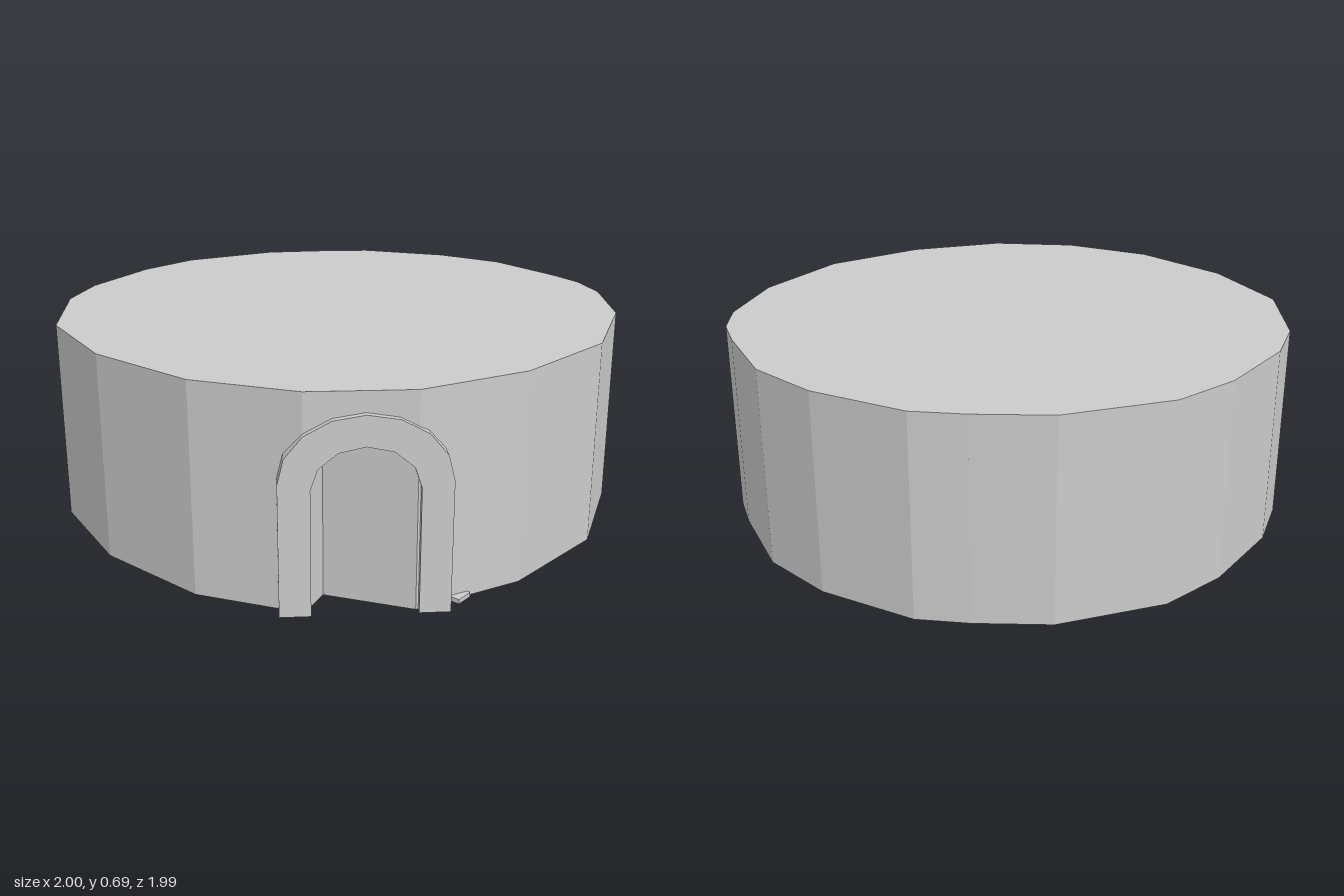
import * as THREE from 'three';

const material = new THREE.MeshStandardMaterial({ color: 0xcccccc, flatShading: true });

// Irregular plan of the drum as [x, z]; the doorway lies between DOOR and DOOR + 1
const PLAN = [
  [-0.07, -1], [0.18, -1], [0.53, -0.86], [0.72, -0.69], [0.84, -0.56], [0.97, -0.24],
  [1, 0.03], [0.92, 0.35], [0.87, 0.49], [0.77, 0.63], [0.51, 0.84], [0.12, 0.99],
  [-0.29, 0.97], [-0.64, 0.83], [-0.87, 0.59], [-1, 0.26], [-1, -0.15], [-0.87, -0.53],
  [-0.6, -0.81], [-0.4, -0.92],
];
const DOOR = 13;
const HEIGHT = 0.69;
const LINTEL = 0.55;

function addMesh(parent, name, geometry) {
  const mesh = new THREE.Mesh(geometry, material);
  mesh.name = name;
  parent.add(mesh);
  return mesh;
}

// Upright prism over a plan
function prism(plan, y0, y1) {
  const shape = new THREE.Shape(plan.map(([x, z]) => new THREE.Vector2(x, -z)));
  const geometry = new THREE.ExtrudeGeometry(shape, { depth: y1 - y0, bevelEnabled: false });
  return geometry.rotateX(-Math.PI / 2).translate(0, y0, 0);
}

// Outline of half-arch points, right foot to left foot
function archPoints(halfWidth, spring, top, sides) {
  const points = [new THREE.Vector2(halfWidth, 0)];
  for (let i = 0; i <= sides; i++) {
    const a = (i / sides) * Math.PI;
    points.push(new THREE.Vector2(Math.cos(a) * halfWidth, spring + Math.sin(a) * (top - spring)));
  }
  points.push(new THREE.Vector2(-halfWidth, 0));
  return points;
}

export function createModel() {
  const group = new THREE.Group();
  group.name = 'roundBuilding';

  // Drum: the lower part is notched behind the doorway
  const notched = [...PLAN.slice(0, DOOR + 1), [-0.75, 0.56], ...PLAN.slice(DOOR + 1)];
  addMesh(group, 'lowerWall', prism(notched, 0, LINTEL));
  addMesh(group, 'upperWall', prism(PLAN, LINTEL, HEIGHT));

  // Arched door surround, turned to face outward
  const outline = [
    ...archPoints(0.255, 0.42, 0.625, 8),
    ...archPoints(0.16, 0.4, 0.53, 6).reverse(),
  ];
  const frame = addMesh(group, 'doorFrame',
    new THREE.ExtrudeGeometry(new THREE.Shape(outline), { depth: 0.085, bevelEnabled: false }));
  frame.position.set(-0.7, 0, 0.676);
  frame.rotation.y = Math.atan2(-0.717, 0.697);

  // Small slab at the foot of the door surround
  const slab = addMesh(group, 'footSlab', new THREE.BoxGeometry(0.06, 0.015, 0.06));
  slab.position.set(-0.5, 0.0075, 0.88);

  return group;
}
